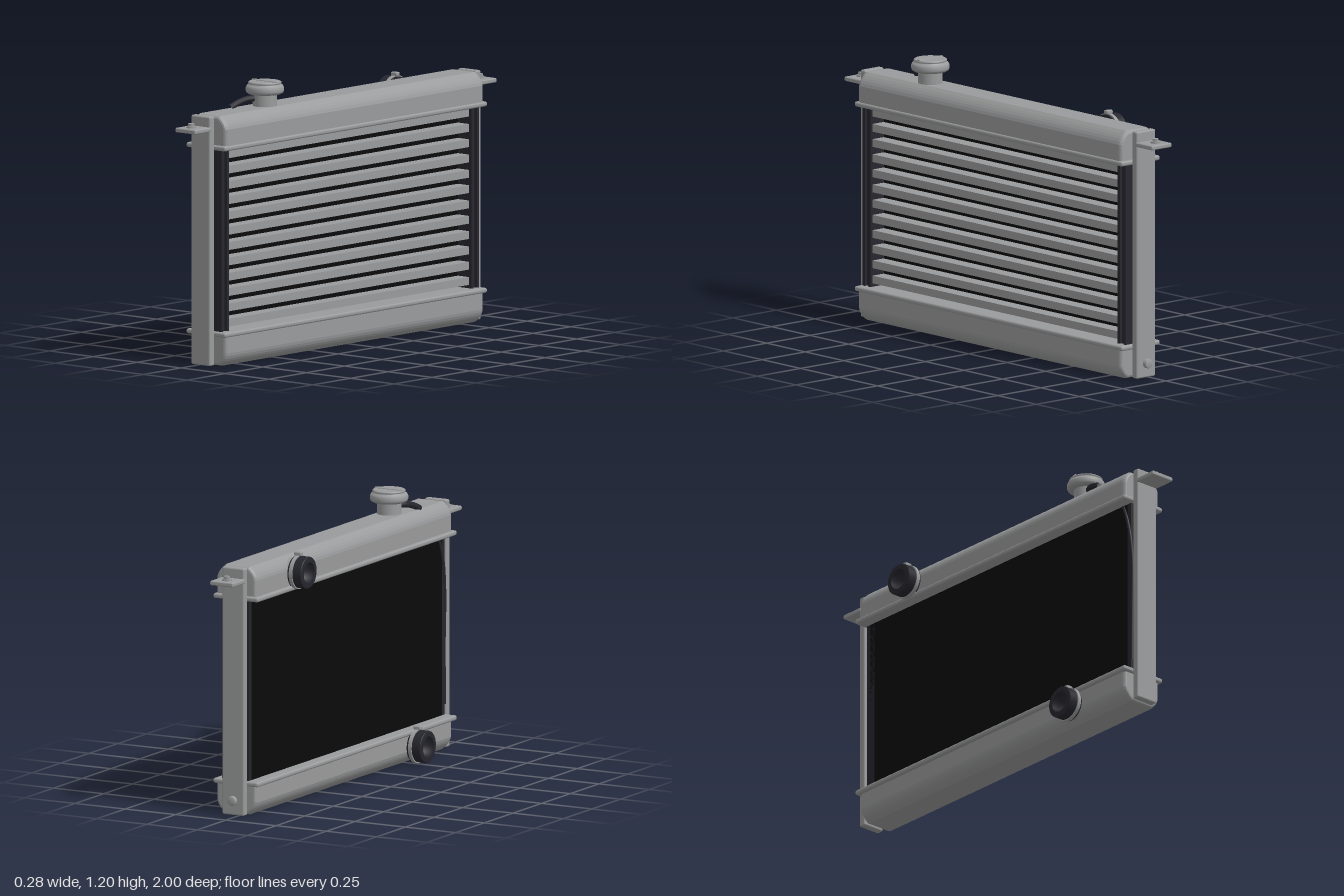
import * as THREE from 'three';
import { RoundedBoxGeometry } from 'three/addons/geometries/RoundedBoxGeometry.js';

const material = (name, color) => {
  const m = new THREE.MeshStandardMaterial({ color });
  m.name = name;
  return m;
};

export function createModel() {
  const metal = material('grey metal', 0x9a9b9c);
  const rubber = material('dark rubber', 0x26262e);
  const black = material('black fins', 0x0b0b0b);
  const root = new THREE.Group();
  root.name = 'radiator';

  const add = (name, geo, mat, x = 0, y = 0, z = 0, parent = root) => {
    const m = new THREE.Mesh(geo, mat);
    m.name = name;
    m.position.set(x, y, z);
    parent.add(m);
    return m;
  };
  // Box given by its limits, optionally with rounded edges
  const box = (name, mat, x0, x1, y0, y1, z0, z1, r = 0, parent = root) => {
    const s = [x1 - x0, y1 - y0, z1 - z0];
    const geo = r ? new RoundedBoxGeometry(...s, 2, r) : new THREE.BoxGeometry(...s);
    return add(name, geo, mat, (x0 + x1) / 2, (y0 + y1) / 2, (z0 + z1) / 2, parent);
  };
  const lathe = (pts, n = 32) =>
    new THREE.LatheGeometry(pts.map(([r, y]) => new THREE.Vector2(r, y)), n);
  const tube = (name, pts, r) => add(name, new THREE.TubeGeometry(
    new THREE.CatmullRomCurve3(pts.map(p => new THREE.Vector3(...p))), 40, r, 10), rubber);

  // Tanks: rounded profile run along z, bevelled at the ends
  const tankGeometry = top => {
    const pr = new THREE.Shape();
    pr.moveTo(-0.055, 0);
    pr.lineTo(-0.055, 0.075);
    pr.quadraticCurveTo(-0.053, 0.1, -0.025, 0.12);
    pr.lineTo(0.085, 0.12);
    pr.quadraticCurveTo(0.112, 0.1, 0.118, 0.075);
    pr.lineTo(0.118, 0);
    const geo = new THREE.ExtrudeGeometry(pr, {
      depth: 1.67, bevelThickness: 0.02, bevelSize: 0.014, bevelSegments: 3, curveSegments: 5,
    });
    geo.translate(0, 0, -0.835);
    if (!top) {
      // Turn over about z, then re-centre on the same x range
      geo.rotateZ(Math.PI);
      geo.translate(0.063, 0, 0);
    }
    return geo;
  };
  add('topTank', tankGeometry(true), metal, 0, 0.962, 0);
  add('bottomTank', tankGeometry(false), metal, 0, 0.138, 0);
  box('topFlange', metal, -0.085, 0.139, 0.946, 0.968, -0.87, 0.87, 0.009);
  box('bottomFlange', metal, -0.085, 0.139, 0.132, 0.154, -0.87, 0.87, 0.009);

  // Core: black fin block behind grey cooling tubes
  box('finBlock', black, -0.03, 0.025, 0.15, 0.95, -0.83, 0.83);
  for (let i = 0; i < 12; i++) {
    const y = 0.186 + i * 0.0669;
    box('coolingTube', metal, 0.02, 0.09, y - 0.017, y + 0.017, -0.81, 0.81);
  }

  for (const s of [-1, 1]) {
    // Dark side channels of the core
    const side = new THREE.Group();
    side.name = s > 0 ? 'leftSide' : 'rightSide';
    root.add(side);
    box('sideChannel', rubber, -0.03, 0.09, 0.15, 0.95, s * 0.828 - 0.024, s * 0.828 + 0.024, 0, side);
    for (const dz of [-0.018, 0.018]) {
      const z = s * 0.828 + dz;
      box('channelLip', rubber, 0.085, 0.103, 0.15, 0.95, z - 0.007, z + 0.007, 0, side);
    }

    // Upright post and mounting tab with bolt
    box('post', metal, -0.032, 0.077, 0.006, 1.096, s * 0.882 - 0.017, s * 0.882 + 0.017, 0.008, side);
    box('mountingTab', metal, -0.035, 0.08, 1.03, 1.05, s * 0.945 - 0.055, s * 0.945 + 0.055, 0.006, side);
    add('washer', new THREE.CylinderGeometry(0.021, 0.021, 0.008, 20), metal, 0.02, 1.053, s * 0.955, side);
    add('boltHead', new THREE.CylinderGeometry(0.014, 0.014, 0.014, 6), metal, 0.02, 1.062, s * 0.955, side);
  }

  // Drain plug on the right post
  const drain = add('drainPlug', lathe([[0, 0.022], [0.018, 0.022], [0.021, 0.016], [0.021, 0]].reverse(), 16),
    metal, 0.022, 0.07, -0.897);
  drain.rotation.x = -Math.PI / 2;

  // Filler neck and cap
  add('fillerNeck', new THREE.CylinderGeometry(0.053, 0.053, 0.08, 28), metal, 0.037, 1.115, 0.488);
  add('fillerCap', lathe([
    [0, 1.148], [0.07, 1.148], [0.08, 1.154], [0.083, 1.162], [0.083, 1.176], [0.078, 1.186],
    [0.066, 1.19], [0.072, 1.194], [0.072, 1.2], [0.066, 1.203], [0, 1.203],
  ], 36), metal, 0.037, 0, 0.488);
  box('capGrip', metal, -0.033, 0.107, 1.195, 1.207, 0.479, 0.497, 0.004);

  // Overflow hose from the neck, then down beside the left post
  tube('overflowHose', [[0.02, 1.13, 0.52], [-0.002, 1.128, 0.56], [-0.015, 1.115, 0.61], [-0.025, 1.098, 0.645]], 0.014);
  tube('drainHose', [[-0.026, 0.95, 0.8], [-0.03, 0.85, 0.835], [-0.028, 0.7, 0.857],
    [-0.026, 0.45, 0.855], [-0.028, 0.2, 0.856]], 0.008);

  // Hose connections on the back face
  for (const [name, y, z] of [['upperHose', 1.025, -0.525], ['lowerHose', 0.08, 0.515]]) {
    const hose = new THREE.Group();
    hose.name = name;
    hose.position.set(0, y, z);
    root.add(hose);
    const along = (part, geo, mat, x) => {
      add(part, geo, mat, x, 0, 0, hose).rotation.z = Math.PI / 2;
    };
    along('stub', new THREE.CylinderGeometry(0.058, 0.058, 0.06, 28), metal, -0.06);
    along('rubberSleeve', lathe([
      [0, 0.1], [0.046, 0.1], [0.046, 0.143], [0.046, 0.143], [0.066, 0.143], [0.07, 0.139],
      [0.07, 0.139], [0.07, 0.075], [0.07, 0.075], [0, 0.075],
    ].reverse()), rubber, 0);
    along('clamp', lathe([[0.068, 0.084], [0.075, 0.084], [0.075, 0.084],
      [0.075, 0.1], [0.075, 0.1], [0.068, 0.1]]), metal, 0);
    box('clampScrew', metal, -0.108, -0.074, 0.072, 0.089, -0.012, 0.012, 0.005, hose);
  }
  return root;
}
